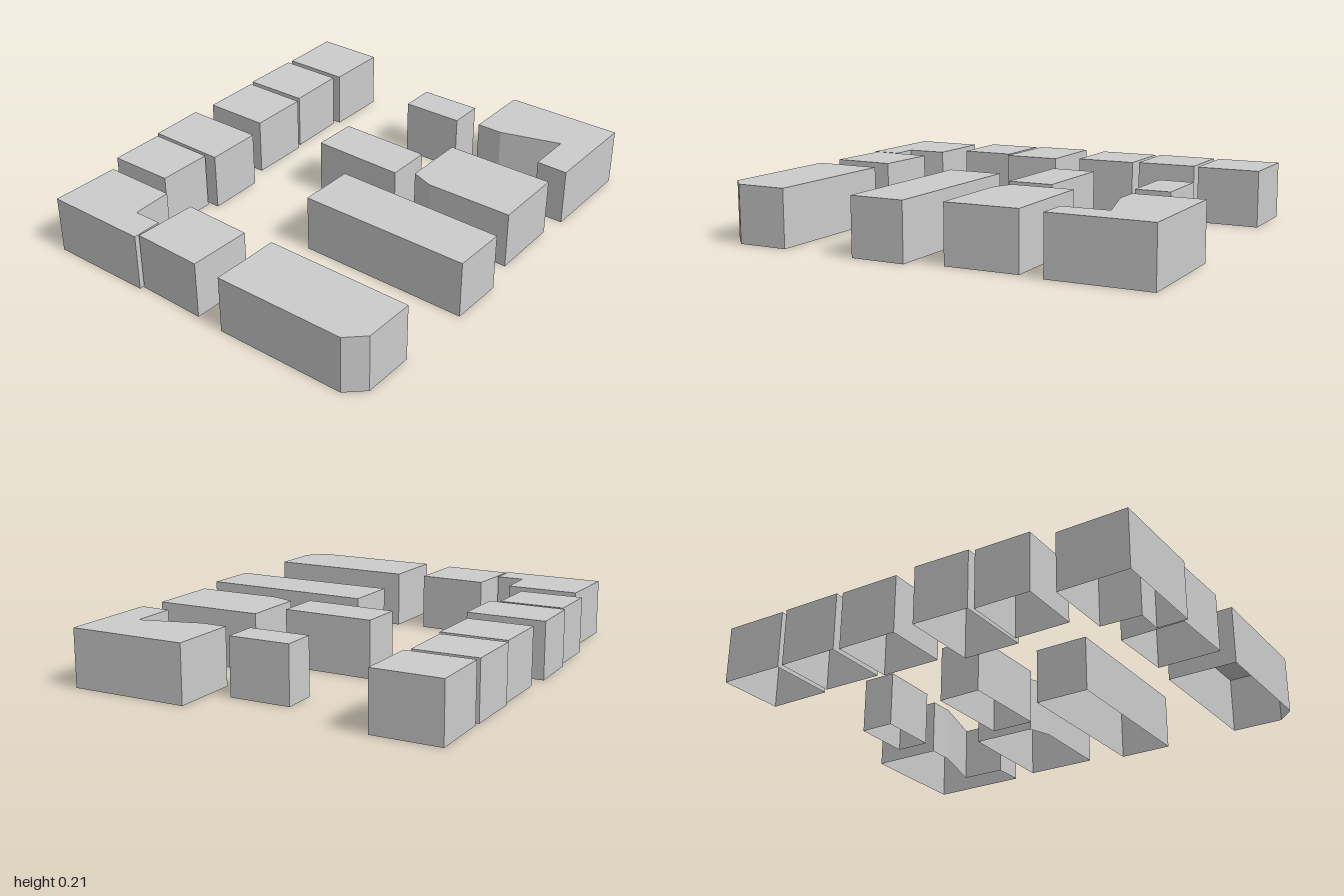
import * as THREE from 'three';

const HEIGHT = 0.207;
const material = new THREE.MeshStandardMaterial({
  color: 0xcccccc, flatShading: true, side: THREE.DoubleSide,
});

// Ground plans as [x, z] corners, one block of buildings each.
const footprints = {
  rowHouse1: [[-0.093, -1], [0.103, -0.848], [-0.038, -0.665], [-0.233, -0.812]],
  rowHouse2: [[-0.248, -0.797], [-0.062, -0.657], [-0.192, -0.481], [-0.382, -0.622]],
  rowHouse3: [[-0.387, -0.602], [-0.197, -0.457], [-0.332, -0.281], [-0.522, -0.426]],
  rowHouse4: [[-0.582, -0.367], [-0.352, -0.191], [-0.477, -0.026], [-0.703, -0.202]],
  rowHouse5: [[-0.702, -0.182], [-0.513, -0.038], [-0.637, 0.119], [-0.825, -0.022]],
  cornerHouse: [[-0.827, 0.056], [-0.617, 0.218], [-0.703, 0.337], [-0.622, 0.398], [-0.688, 0.483], [-0.985, 0.253]],
  sideHouse: [[-0.528, 0.3], [-0.335, 0.458], [-0.479, 0.634], [-0.676, 0.474]],
  frontBlock: [[-0.245, 0.512], [0.182, 0.845], [0.066, 0.992], [-0.02, 1], [-0.4, 0.707]],
  longBlock: [[-0.012, 0.083], [0.482, 0.474], [0.359, 0.63], [-0.138, 0.244]],
  courtyardBlock: [[0, -0.26], [0.264, -0.051], [0.164, 0.079], [-0.101, -0.133]],
  wideBlock: [[0.375, -0.103], [0.693, 0.138], [0.533, 0.35], [0.28, 0.158], [0.233, 0.083]],
  smallBlock: [[0.304, -0.538], [0.483, -0.403], [0.407, -0.303], [0.228, -0.437]],
  angledBlock: [[0.64, -0.474], [0.984, -0.213], [0.762, 0.076], [0.672, 0.004], [0.772, -0.13], [0.562, -0.213], [0.486, -0.272]],
};

// Walls and flat roof raised from a ground plan, open underneath.
function building(name, plan) {
  const shape = new THREE.Shape(plan.map(([x, z]) => new THREE.Vector2(x, -z)));
  const roofGeometry = new THREE.ShapeGeometry(shape);
  roofGeometry.rotateX(-Math.PI / 2).translate(0, HEIGHT, 0);
  const roof = new THREE.Mesh(roofGeometry, material);
  roof.name = 'roof';

  const group = new THREE.Group();
  group.name = name;
  group.add(roof);
  plan.forEach(([x, z], i) => {
    const [nextX, nextZ] = plan[(i + 1) % plan.length];
    const dx = nextX - x, dz = nextZ - z;
    const wall = new THREE.Mesh(new THREE.PlaneGeometry(Math.hypot(dx, dz), HEIGHT), material);
    wall.name = 'wall';
    wall.position.set((x + nextX) / 2, HEIGHT / 2, (z + nextZ) / 2);
    wall.rotation.y = Math.atan2(dz, -dx); // outward side faces away from the plan
    group.add(wall);
  });
  return group;
}

export function createModel() {
  const group = new THREE.Group();
  group.name = 'cityBlock';
  for (const [name, plan] of Object.entries(footprints)) group.add(building(name, plan));
  return group;
}
